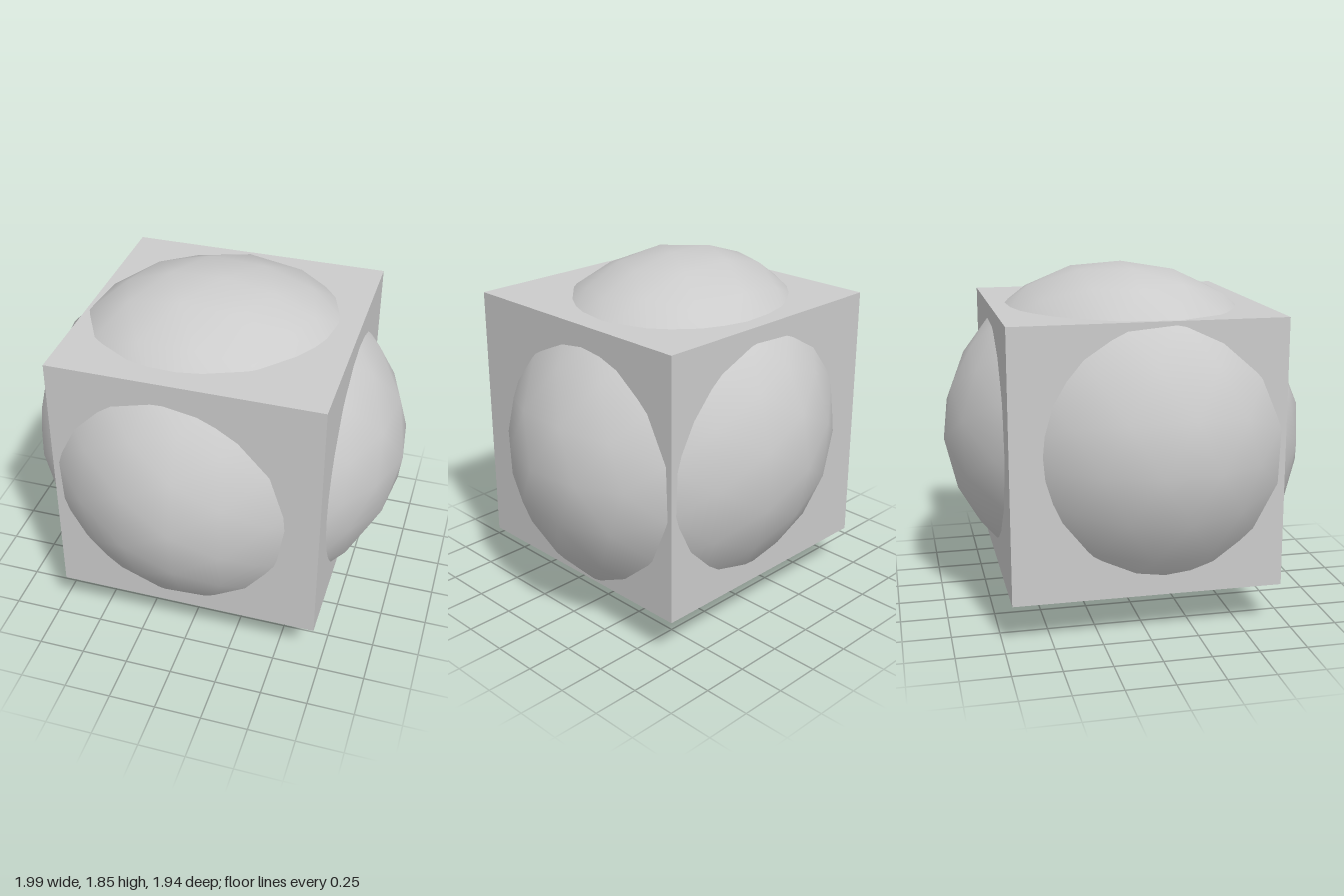
import * as THREE from 'three';
import { mergeVertices } from 'three/addons/utils/BufferGeometryUtils.js';

const CENTER_Y = 0.93;

// Distance of the ball's surface from its centre along the unit direction (x, y, z):
// an ellipsoid squashed along one diagonal, plus a gentle swell around each axis
function ballRadius({ x, y, z }) {
  const ellipsoid = 1.13 * x * x + 1.08 * y * y + 1.25 * z * z
    + 0.16 * x * y + 0.27 * x * z + 0.08 * y * z;
  const swell = 0.05 * x ** 8 - 0.04 * y ** 8 + 0.07 * z ** 8;
  return 1.005 * (1 / Math.sqrt(ellipsoid) + swell);
}

function createBallGeometry() {
  const sphere = new THREE.IcosahedronGeometry(1, 3);
  sphere.deleteAttribute('normal');
  sphere.deleteAttribute('uv');
  const geometry = mergeVertices(sphere);
  const position = geometry.attributes.position;
  const v = new THREE.Vector3();
  for (let i = 0; i < position.count; i++) {
    v.fromBufferAttribute(position, i).normalize();
    v.multiplyScalar(ballRadius(v));
    position.setXYZ(i, v.x, v.y, v.z);
  }
  geometry.computeVertexNormals();
  return geometry;
}

export function createModel() {
  const group = new THREE.Group();
  const material = new THREE.MeshStandardMaterial({ color: 0xcccccc });

  // Sharp-edged cube
  const cube = new THREE.Mesh(new THREE.BoxGeometry(1.41, 1.41, 1.41), material);
  cube.name = 'cube';
  cube.position.y = CENTER_Y + 0.005;
  group.add(cube);

  // Uneven, smooth-shaded ball bulging through all six faces
  const ball = new THREE.Mesh(createBallGeometry(), material);
  ball.name = 'ball';
  ball.position.y = CENTER_Y;
  group.add(ball);

  return group;
}
